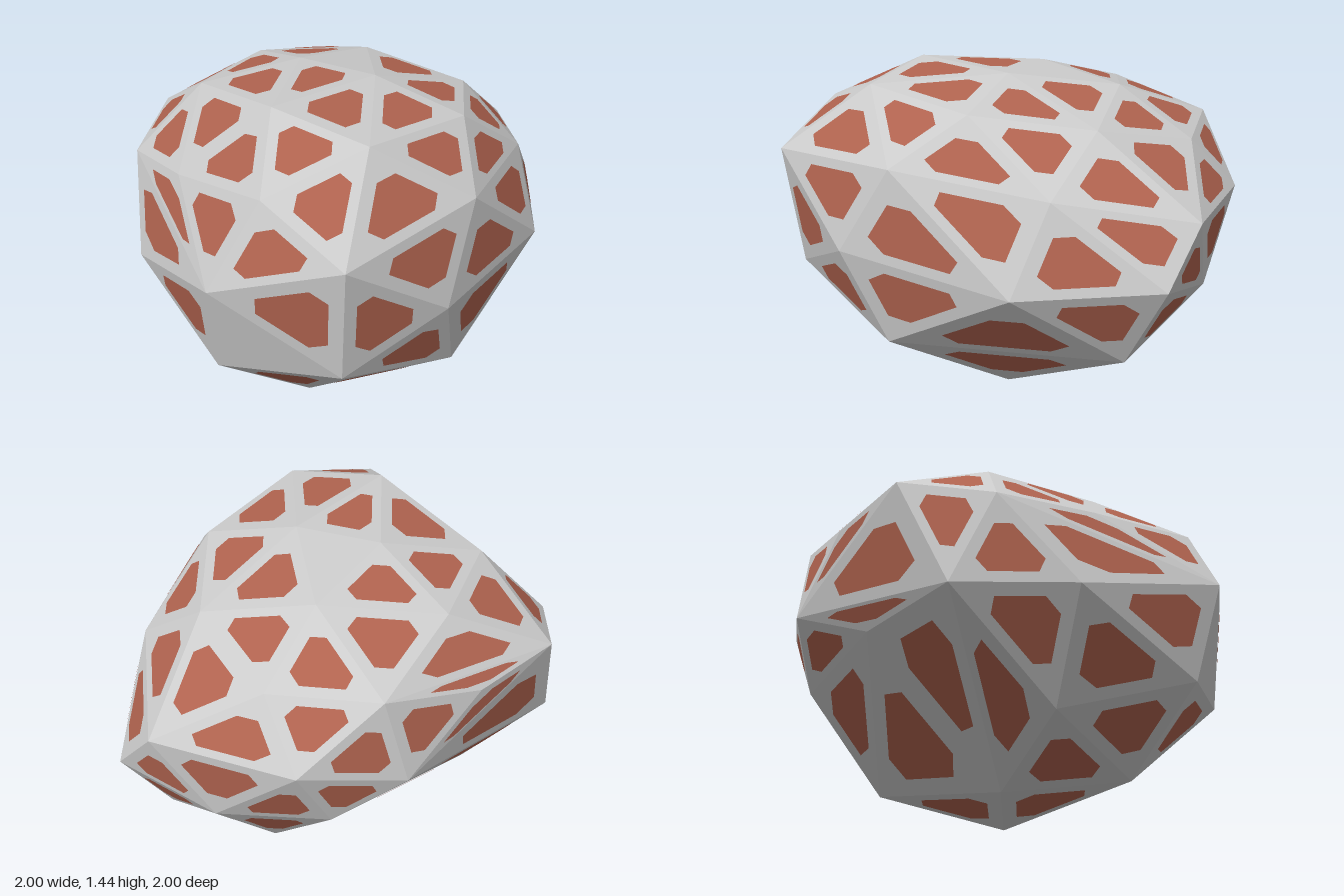
import * as THREE from 'three';
import { ConvexGeometry } from 'three/addons/geometries/ConvexGeometry.js';

// Corner points of the faceted boulder, grouped by region
const CORNERS = [
  // front
  -0.25, 1.06, 1.0, -0.25, 0.51, 0.92, -0.75, 0.87, 0.73, -0.72, 0.41, 0.6, 0.22, 0.7, 0.8,
  0.31, 0.29, 0.61, 0.38, 1.09, 0.6, -0.07, 1.37, 0.6, -0.52, 1.25, 0.72,
  // left side
  0.83, 0.64, 0.2, 0.78, 1.02, 0.02, 0.89, 0.92, -0.58, 1.0, 0.68, -0.4, 0.79, 0.3, -0.31,
  // top
  -0.41, 1.44, 0.3, 0.09, 1.42, 0.01, -0.2, 1.43, -0.24, 0.42, 1.31, 0.27, 0.58, 1.25, -0.24,
  0.165, 1.36, -0.49, -0.33, 1.32, -0.66, -0.65, 1.33, -0.28,
  // right side
  -0.8, 1.1, 0.15, -0.97, 1.0, -0.33, -1.0, 0.63, 0, -0.8, 1.09, -0.7, -0.95, 0.58, -0.51,
  // back
  0.45, 1.16, -0.72, 0.4, 0.92, -0.97, 0.05, 1.2, -0.96, -0.4, 1.08, -0.87, -0.05, 0.81, -1.0,
  0.67, 0.57, -0.71, 0.23, 0.57, -0.89, -0.42, 0.6, -0.73,
  // underside
  0.37, 0.15, -0.52, 0.24, 0, 0.045, -0.26, 0.015, -0.11, -0.31, 0.1, 0.46, -0.76, 0.2, -0.03,
];

// Facets that stay bare, as corner indices
const BARE = ['15,16,19', '1,2,3'];

// Corner weights of a six-sided patch inside a triangle
const HEX = [
  [0.64, 0.25, 0.11], [0.25, 0.64, 0.11], [0.11, 0.64, 0.25],
  [0.11, 0.25, 0.64], [0.25, 0.11, 0.64], [0.64, 0.11, 0.25],
];

// Triangulates the corners; a slight bulge keeps every corner on the hull
function findFacets(points) {
  const centre = new THREE.Vector3(0, 0.72, 0);
  const size = new THREE.Vector3(1, 0.72, 1);
  const bulged = points.map((p) => {
    const round = p.clone().sub(centre).divide(size).normalize().multiply(size).add(centre);
    return p.clone().lerp(round, 0.12);
  });
  const pos = new ConvexGeometry(bulged).getAttribute('position');
  const v = new THREE.Vector3();
  const facets = [];
  for (let i = 0; i < pos.count; i += 3) {
    facets.push([0, 1, 2].map((k) => {
      v.fromBufferAttribute(pos, i + k);
      return bulged.findIndex((b) => b.distanceTo(v) < 1e-4);
    }));
  }
  return facets;
}

function triangleGeometry(vertices) {
  const geometry = new THREE.BufferGeometry().setFromPoints(vertices);
  geometry.computeVertexNormals();
  return geometry;
}

export function createModel() {
  const points = [];
  for (let i = 0; i < CORNERS.length; i += 3) {
    points.push(new THREE.Vector3().fromArray(CORNERS, i));
  }
  const stone = [];
  const patches = [];

  for (const facet of findFacets(points)) {
    const [a, b, c] = facet.map((i) => points[i]);
    stone.push(a, b, c);
    if (BARE.includes([...facet].sort((m, n) => m - n).join())) continue;

    // Patch lying just above the facet
    const lift = new THREE.Triangle(a, b, c).getNormal(new THREE.Vector3()).multiplyScalar(0.003);
    const hex = HEX.map(([u, v, w]) => lift.clone()
      .addScaledVector(a, u).addScaledVector(b, v).addScaledVector(c, w));
    for (let k = 1; k < 5; k++) patches.push(hex[0], hex[k], hex[k + 1]);
  }

  const body = new THREE.Mesh(
    triangleGeometry(stone),
    new THREE.MeshStandardMaterial({ color: 0xcccccc, flatShading: true }),
  );
  body.name = 'boulder';

  const spots = new THREE.Mesh(
    triangleGeometry(patches),
    new THREE.MeshStandardMaterial({ color: 0xb0634f, flatShading: true }),
  );
  spots.name = 'facetPatches';

  const model = new THREE.Group();
  model.name = 'patchedBoulder';
  model.add(body, spots);
  return model;
}
